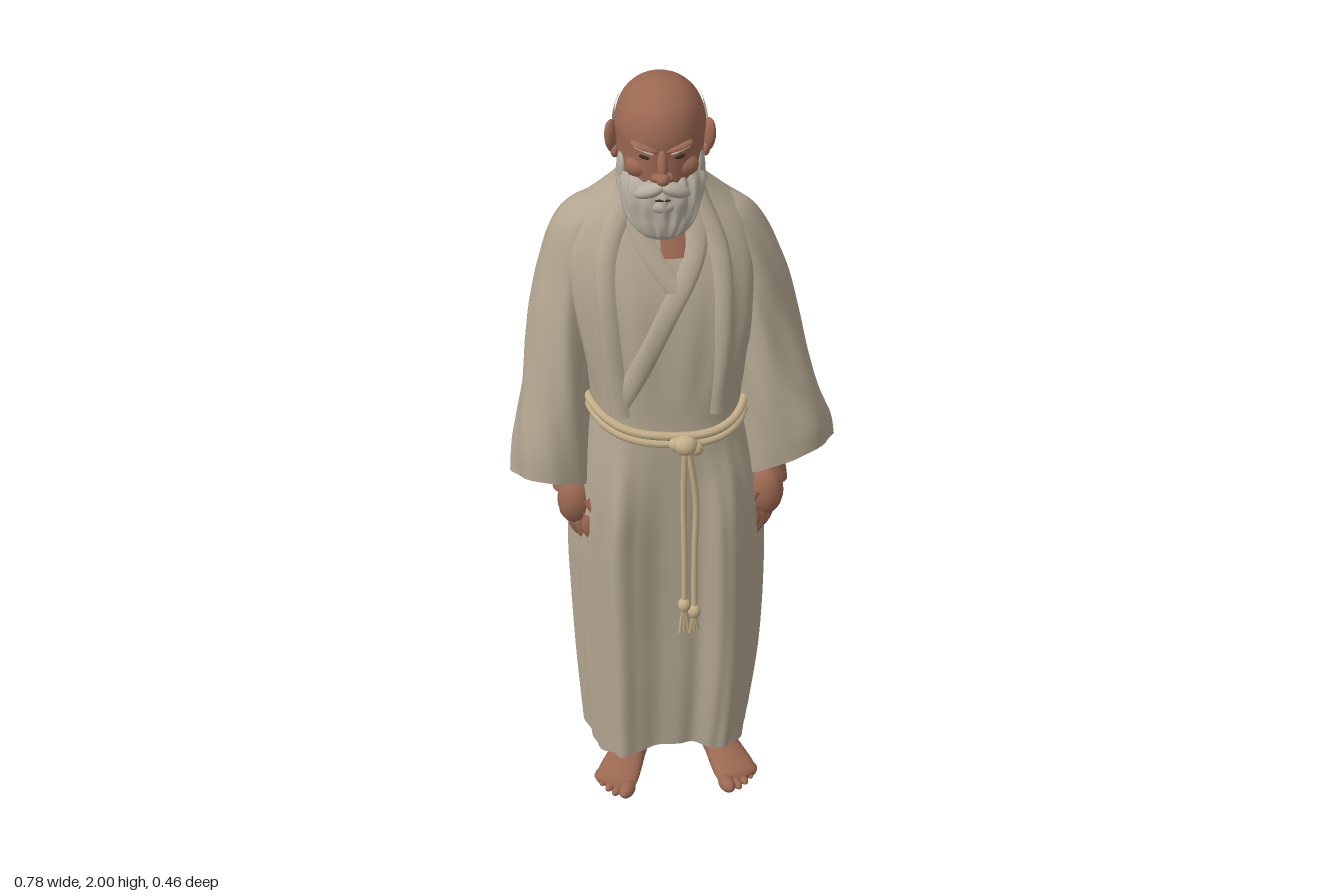
import * as THREE from 'three';
import { mergeVertices } from 'three/addons/utils/BufferGeometryUtils.js';

const mat = (name, color, side = THREE.FrontSide) => {
  const m = new THREE.MeshStandardMaterial({ color, side });
  m.name = name;
  return m;
};
const { smoothstep, clamp } = THREE.MathUtils;

// Cross-sections are [centreX, y, centreZ, radiusX, radiusZ], ordered by y.
function section(S, y) {
  let i = 0;
  while (i < S.length - 2 && y > S[i + 1][1]) i++;
  const a = S[i], b = S[i + 1], h = b[1] - a[1];
  const u = clamp((y - a[1]) / h, 0, 1);
  const slope = (j, k) => {
    const p = S[Math.max(0, j - 1)], q = S[Math.min(S.length - 1, j + 1)];
    return (q[k] - p[k]) / (q[1] - p[1]);
  };
  return a.map((v, k) => v * (1 + 2 * u) * (1 - u) ** 2 + b[k] * u * u * (3 - 2 * u)
    + h * u * (1 - u) * (slope(i, k) * (1 - u) - slope(i + 1, k) * u));
}

// Point on a lofted body at angle t and height y.
function surf(S, t, y, off = 0, fold = null, p = 1) {
  const [cx, , cz, rx, rz] = section(S, y);
  const f = fold ? 1 + fold(t, y) : 1;
  const pw = (v) => Math.sign(v) * Math.abs(v) ** p;
  return new THREE.Vector3(cx + (rx * f + off) * pw(Math.cos(t)), y, cz + (rz * f + off) * pw(Math.sin(t)));
}

// Grid surface from a rule f(u, v).
function grid(f, nu, nv) {
  const pos = [], idx = [];
  for (let i = 0; i <= nv; i++) for (let j = 0; j <= nu; j++) pos.push(...f(j / nu, i / nv).toArray());
  for (let i = 0; i < nv; i++) for (let j = 0; j < nu; j++) {
    const a = i * (nu + 1) + j, c = a + nu + 1;
    idx.push(a, c, a + 1, a + 1, c, c + 1);
  }
  let g = new THREE.BufferGeometry();
  g.setAttribute('position', new THREE.Float32BufferAttribute(pos, 3));
  g.setIndex(idx);
  g = mergeVertices(g, 1e-5);
  g.computeVertexNormals();
  return g;
}

function loft(S, { fold = null, p = 1, nt = 40, ny = 36, warp = null } = {}) {
  const y0 = S[0][1], y1 = S[S.length - 1][1];
  return grid((u, v) => {
    const q = surf(S, Math.PI * 2 * u, y0 + (y1 - y0) * v, 0, fold, p);
    if (warp) warp(q);
    return q;
  }, nt, ny);
}

export function createModel() {
  const root = new THREE.Group();
  root.name = 'robedElder';
  const robe = mat('robeLinen', 0xb2a590, THREE.DoubleSide);
  const skin = mat('skin', 0x9b6852, THREE.DoubleSide);
  const hair = mat('greyHair', 0xb6ae9f, THREE.DoubleSide);
  const cordMat = mat('cord', 0xc4b08a);
  const dark = mat('eyeDark', 0x3a2820);

  const add = (name, g, m, parent = root) => {
    const mesh = new THREE.Mesh(g, m);
    mesh.name = name;
    parent.add(mesh);
  };
  const ball = (name, m, pos, scale, rot = [0, 0, 0], parent = root) => {
    const g = new THREE.SphereGeometry(1, 20, 14).scale(...scale);
    g.applyMatrix4(new THREE.Matrix4().makeRotationFromEuler(new THREE.Euler(...rot)).setPosition(...pos));
    add(name, g, m, parent);
  };
  const tube = (name, pts, r, m, parent = root, closed = false) => add(name, new THREE.TubeGeometry(
    new THREE.CatmullRomCurve3(pts.map((q) => (q.isVector3 ? q : new THREE.Vector3(...q))), closed), closed ? 96 : 20, r, 8, closed), m, parent);

  // Robe body, gathered at the waist with pleats below
  const B = [[-.017, .19, -.022, .212, .182], [-.012, .4, -.022, .23, .184], [-.012, .6, -.024, .238, .184], [-.015, .8, -.022, .238, .184],
    [-.015, 1, -.018, .218, .181], [-.02, 1.13, -.012, .192, .174], [-.02, 1.2, -.012, .183, .17], [-.02, 1.27, -.02, .192, .176],
    [-.02, 1.4, -.035, .22, .183], [-.025, 1.5, -.043, .232, .175], [-.03, 1.58, -.045, .23, .15], [-.03, 1.65, -.045, .2, .118],
    [-.03, 1.7, -.04, .145, .092], [-.03, 1.74, -.037, .1, .076], [-.03, 1.78, -.035, .086, .062]];
  const fold = (t, y) => {
    const below = smoothstep(1.2 - y, 0, .35), above = smoothstep(y, 1.2, 1.32) * smoothstep(1.7 - y, 0, .3);
    return below * (.02 * Math.sin(13 * t + .6 * Math.sin(3 * t)) + .016 * Math.sin(21 * t + 1.3 + y))
      + above * (.012 * Math.sin(17 * t + 2 * y) + .008 * Math.sin(9 * t - 6 * y));
  };
  const P = .8;
  const lobes = [[-.13, 1, .045, .055], [.14, 1, .037, .055], [-.12, -1, .033, .05], [.08, -1, .027, .055]];
  const drape = (q) => {
    const z = q.z, k = smoothstep(1.2 - q.y, 0, .3);
    for (const [x, s, a, w] of lobes) q.z += s * a * k * smoothstep(z * s, 0, .1) * Math.exp(-(((q.x - x) / w) ** 2));
    const h = Math.max(0, (.5 - q.y) / .31);
    q.y += h * (.012 * Math.sin(q.x * 16 + z * 9 + .4) - .025 * smoothstep(-q.x, .13, .2) * smoothstep(z, -.05, .05));
  };
  add('robeBody', loft(B, { fold, p: P, nt: 180, ny: 90, warp: drape }), robe);

  // Cloth strips that follow the front of the robe
  const onRobe = (x, y, off) => {
    const [cx, , , rx] = section(B, y), c = clamp((x - cx) / rx, -.99, .99);
    return surf(B, Math.acos(Math.sign(c) * Math.abs(c) ** (1 / P)), y, off, fold, P);
  };
  const strip = (name, pts, w, m, lift, base = .003) => {
    const c = new THREE.CatmullRomCurve3(pts.map(([x, y]) => new THREE.Vector3(x, y, 0)));
    add(name, grid((u, v) => {
      const q = c.getPoint(v), d = c.getTangent(v), k = (u - .5) * w;
      return onRobe(q.x + d.y * k, q.y - d.x * k, base + lift * Math.sin(Math.PI * u) ** .6);
    }, 8, 40), m);
  };
  strip('bareChest', [[-.01, 1.69], [-.005, 1.65], [-.003, 1.6]], .055, skin, .004);
  strip('underLapel', [[-.1, 1.71], [-.06, 1.62], [.01, 1.52]], .045, robe, .008);
  strip('crossLapel', [[.05, 1.71], [.045, 1.61], [-.015, 1.48], [-.08, 1.34], [-.13, 1.24]], .048, robe, .008, .004);
  strip('outerLapel', [[-.1, 1.73], [-.15, 1.6], [-.145, 1.4], [-.125, 1.21]], .045, robe, .011, .005);
  strip('outerLapel', [[.045, 1.73], [.1, 1.6], [.11, 1.4], [.1, 1.21]], .045, robe, .011);

  // Wide sleeves with slanted openings
  const sleeves = {
    right: [[-.287, .965, .022, .103, .108], [-.283, 1.06, .018, .1, .108], [-.268, 1.2, .003, .092, .106], [-.245, 1.4, -.03, .088, .108],
      [-.222, 1.52, -.05, .084, .106], [-.192, 1.63, -.048, .076, .085], [-.165, 1.68, -.045, .052, .055], [-.145, 1.702, -.045, .001, .001]],
    left: [[.272, 1, .006, .113, .106], [.265, 1.08, .005, .111, .106], [.24, 1.2, -.006, .101, .106], [.2, 1.4, -.036, .09, .108],
      [.173, 1.52, -.05, .083, .106], [.135, 1.62, -.048, .073, .085], [.108, 1.675, -.045, .05, .055], [.085, 1.7, -.045, .001, .001]],
  };
  for (const [side, S] of Object.entries(sleeves)) {
    const s = side === 'left' ? 1 : -1, [cx, y0, cz] = S[0];
    const sleeveFold = (t, y) => .025 * Math.sin(5 * t + 9 * y * s) + .022 * Math.sin(8 * t - 17 * y);
    const slant = (q) => {
      const k = Math.max(0, 1 - (q.y - y0) / .35);
      q.y += k * ((q.x - cx) * s * (s > 0 ? .45 : .15) + (q.z - cz) * .42);
    };
    add(side + 'Sleeve', loft(S, { fold: sleeveFold, p: 1.1, nt: 56, ny: 50, warp: slant }), robe);

    // Hand with relaxed fingers
    const hand = new THREE.Group();
    hand.name = side + 'Hand';
    hand.position.set(s > 0 ? .207 : -.222, .922, s > 0 ? .052 : .066);
    hand.scale.set(1.25, 1.15, 1.1);
    root.add(hand);
    add('forearm', loft([[s * .02, .02, -.02, .036, .034], [s * .02, .08, -.03, .03, .03], [s * .02, .25, -.04, .036, .036]], { nt: 20, ny: 10 }), skin, hand);
    ball('palm', skin, [s * .008, 0, -.008], [.038, .062, .046], [0, s * .45, 0], hand);
    for (let k = 0; k < 4; k++) {
      const x = s * (-.016 + k * .014), z = .03 - k * .021, l = [.088, .1, .096, .08][k];
      tube('finger', [[x, -.02, z], [x + s * .005, -.05, z + .004], [x - s * .004, -l + .012, z], [x - s * .014, -l, z - .008]], .0135, skin, hand);
      ball('fingertip', skin, [x - s * .014, -l, z - .008], [.0135, .0135, .0135], [0, 0, 0], hand);
    }
    tube('thumb', [[s * -.01, .02, .03], [s * -.03, -.015, .042], [s * -.032, -.055, .042]], .0125, skin, hand);
    ball('thumbTip', skin, [s * -.032, -.055, .042], [.0125, .015, .0125], [0, 0, 0], hand);

    // Leg and bare foot, toes turned out
    const lx = s > 0 ? .1 : -.087;
    add(side + 'Leg', loft([[lx, .06, -.075, .04, .045], [lx, .12, -.068, .037, .045], [lx, .22, -.06, .047, .055], [lx, .36, -.05, .06, .065], [lx, .55, -.04, .06, .065]], { nt: 24, ny: 16 }), skin);
    const foot = new THREE.Group();
    foot.name = side + 'Foot';
    foot.position.set(s > 0 ? .12 : -.108, 0, s > 0 ? -.022 : -.012);
    foot.rotation.y = s * .36;
    root.add(foot);
    const F = [[0, -.122, -.036, .001, .001], [0, -.114, -.038, .026, .03], [0, -.086, -.044, .038, .043], [0, -.04, -.053, .042, .053], [0, .02, -.046, .045, .046],
      [s * .003, .068, -.032, .053, .032], [s * .004, .11, -.023, .056, .023], [s * .004, .138, -.018, .046, .014], [s * .004, .143, -.018, .001, .001]];
    add('footBody', loft(F, { nt: 28, ny: 40 }).rotateX(Math.PI / 2), skin, foot);
    for (let k = 0; k < 5; k++) {
      const r = k ? .0135 - k * .0008 : .02;
      ball('toe', skin, [s * (-.036 + k * .0225 + (k ? .004 : 0)), r, .145 - k * k * .0028], [r, r, .03 - k * .002], [0, s * .1, 0], foot);
    }
  }

  // Rope belt dipping to the knot, and hanging ends
  for (const d of [-.01, .01]) {
    const pts = [];
    for (let i = 0; i < 40; i++) {
      const t = i / 40 * Math.PI * 2, z = Math.sin(t);
      pts.push(surf(B, t, 1.217 - .018 * Math.cos(t) - z * (z > 0 ? .06 : .016) + d, .008, fold, P));
    }
    tube('ropeBelt', pts, .0105, cordMat, root, true);
  }
  ball('beltKnot', cordMat, [.022, 1.152, .185], [.028, .026, .022]);
  ball('knotLoop', cordMat, [.045, 1.142, .182], [.018, .02, .016], [0, 0, .5]);
  ball('knotLoop', cordMat, [0, 1.152, .18], [.018, .018, .015]);
  for (const [dx, y] of [[-.011, .7], [.013, .68]]) {
    const x = .03 + dx;
    tube('hangingCord', [[.024 + dx * .4, 1.14, .192], [x + dx * .2, 1, .192], [x, .85, .2], [x, y, .211]], .0075, cordMat);
    ball('cordKnot', cordMat, [x, y, .211], [.016, .02, .015]);
    for (const k of [-1, 0, 1]) tube('tassel', [[x, y, .211], [x + k * .005, y - .04, .207], [x + k * .01, .612 + k * .006, .203]], .005, cordMat);
  }

  // Neck and bald head
  const X = -.028;
  add('neck', loft([[X, 1.6, -.03, .07, .06], [X, 1.72, -.018, .066, .058], [X, 1.82, 0, .07, .07]], { nt: 24, ny: 8 }), skin);
  const H = [[X, 1.69, .05, .04, .05], [X, 1.74, .03, .072, .082], [X, 1.78, .015, .087, .104], [X, 1.82, .007, .094, .115], [X, 1.86, .003, .097, .12],
    [X, 1.9, .002, .1, .122], [X, 1.945, .003, .087, .107], [X, 1.975, .005, .063, .077], [X, 1.992, .006, .034, .04], [X, 2, .006, .001, .001]];
  add('head', loft(H, { nt: 48, ny: 60 }), skin);

  // Side hair, sideburns, ears, brows and eyes
  for (const s of [-1, 1]) {
    add('sideHair', grid((u, v) => {
      const a = -.17 + ((s > 0 ? u : 1 - u) - .55) * .9 * (1 - .85 * v);
      return surf(H, s > 0 ? a : Math.PI - a, 1.75 + .2 * v, .0045);
    }, 12, 16), hair);
    ball('ear', skin, [X + s * .106, 1.852, -.005], [.013, .04, .024], [.15, s * .5, s * -.12]);
    ball('earLobe', skin, [X + s * .1, 1.82, .002], [.01, .016, .013]);
    ball('sideburn', hair, [X + s * .084, 1.8, .035], [.014, .05, .03], [.25, 0, s * .05]);
    ball('cheek', skin, [X + s * .045, 1.825, .082], [.036, .028, .028]);
    ball('eye', dark, [X + s * .037, 1.858, .111], [.014, .005, .006], [0, s * .35, s * .1]);
    ball('browRidge', skin, [X + s * .036, 1.88, .107], [.034, .011, .018], [0, s * .35, s * .22]);
    ball('eyebrow', hair, [X + s * .04, 1.877, .12], [.025, .003, .005], [0, s * .4, s * .25]);
    ball('nostril', skin, [X + s * .013, 1.817, .131], [.012, .01, .013]);
    ball('moustache', hair, [X + s * .028, 1.782, .121], [.038, .016, .021], [0, s * .35, s * -.4]);
  }
  ball('noseBridge', skin, [X, 1.847, .128], [.012, .036, .016], [-.38, 0, 0]);
  ball('noseTip', skin, [X, 1.82, .144], [.016, .014, .017]);

  // Full beard with strands
  const strands = (t, y) => .035 * Math.sin(15 * t + 20 * y) + .025 * Math.sin(23 * t - 30 * y);
  add('beard', loft([[X, 1.652, .1, .002, .002], [X, 1.66, .098, .036, .024], [X, 1.685, .09, .064, .042], [X, 1.72, .074, .083, .06], [X, 1.755, .058, .092, .078],
    [X, 1.785, .045, .094, .083], [X, 1.805, .035, .088, .08]], { fold: strands, nt: 90, ny: 30 }), hair);
  ball('mouth', dark, [X, 1.764, .135], [.018, .0025, .004]);
  ball('lowerLipBeard', hair, [X, 1.745, .126], [.028, .016, .014]);

  // Thin collar hem around the nape
  const collar = [];
  for (let i = 0; i <= 20; i++) collar.push(surf(B, Math.PI * (.88 + 1.24 * i / 20), 1.775, 0, fold, P));
  tube('collar', collar, .006, robe);
  return root;
}
